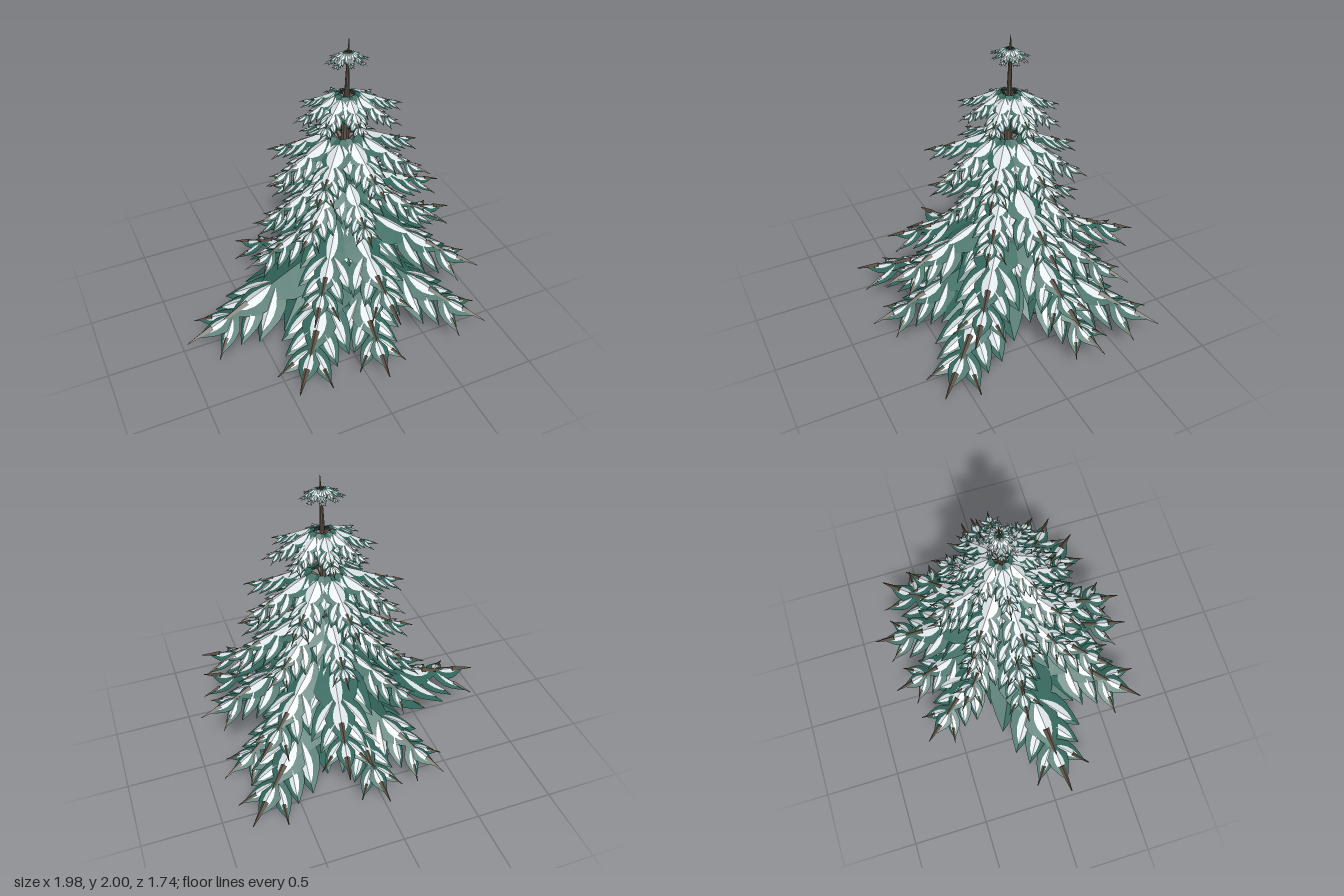
import * as THREE from 'three';

const foliage = new THREE.MeshStandardMaterial({ color: 0x33675d, flatShading: true, side: THREE.DoubleSide });
foliage.name = 'foliage green';
const snow = new THREE.MeshStandardMaterial({ color: 0xdde4e7, flatShading: true, side: THREE.DoubleSide });
snow.name = 'snow white';
const bark = new THREE.MeshStandardMaterial({ color: 0x5b5045, flatShading: true });
bark.name = 'bark brown';

const V = (x, y, z) => new THREE.Vector3(x, y, z);

// Unit leaf along +x, folded down from a midrib; start..end is the stretch it covers.
function leafGeometry(start, end, profile) {
  const pos = [], index = [];
  profile.forEach((w, i) => {
    const u = start + (end - start) * i / (profile.length - 1);
    const ridge = 0.1 * u - 0.1 * u * u;
    for (const side of [-1, 0, 1]) pos.push(u, ridge - Math.abs(side) * w * 0.4, side * w);
    if (i === 0) return;
    const b = i * 3, a = b - 3;
    for (const k of [0, 1]) index.push(a + k, a + k + 1, b + k, b + k, a + k + 1, b + k + 1);
  });
  const g = new THREE.BufferGeometry();
  g.setAttribute('position', new THREE.Float32BufferAttribute(pos, 3));
  g.setIndex(index);
  g.computeVertexNormals();
  return g;
}
const leafShape = leafGeometry(0, 1, [0.45, 0.8, 1, 0.86, 0.48, 0]);
const snowShape = leafGeometry(0.15, 0.84, [0.1, 0.65, 1, 1, 0.7, 0]);

// Tapered round bar between two points
function bar(name, a, b, r0, r1, sides = 5) {
  const d = b.clone().sub(a);
  const m = new THREE.Mesh(new THREE.CylinderGeometry(r1, r0, d.length(), sides), bark);
  m.name = name;
  m.position.copy(a).addScaledVector(d, 0.5);
  m.quaternion.setFromUnitVectors(V(0, 1, 0), d.normalize());
  return m;
}

// Drooping line of every branch: [share of length, share of drop]
const droop = [[0.16, 0], [0.42, 0.34], [0.56, 0.52], [0.71, 0.71], [1, 1]];

// Leaf clusters at those stops, each leaf as [yaw, length, half width] in branch lengths
const clusters = [
  { lift: 0.01, leaves: [[0, 0.47, 0.17], [0.5, 0.51, 0.12], [-0.5, 0.51, 0.12]] },
  { lift: 0.008, leaves: [[0, 0.36, 0.11], [0.62, 0.38, 0.085], [-0.62, 0.38, 0.085]] },
  { lift: 0.004, leaves: [[0.6, 0.3, 0.065], [-0.6, 0.3, 0.065]] },
  { lift: 0.004, leaves: [[0, 0.25, 0.064], [0.68, 0.25, 0.055], [-0.68, 0.25, 0.055]] },
];

function makeBranch(R, rise, drop, snowWidth, baseSnow) {
  const g = new THREE.Group();
  g.name = 'branch';
  const stops = droop.map(([s, h]) => V(s * R, -h * drop, 0));

  // Thick woody stem under the leaves
  const under = [V(0, -rise, 0), ...stops.slice(0, 4).map((p, i) => V(p.x, p.y - (0.065 - 0.012 * i) * R, 0))];
  for (let i = 0; i < 4; i++) {
    const r = (k) => R * (0.034 - 0.006 * k);
    g.add(bar('stem', under[i], under[i + 1], r(i), r(i + 1)));
  }

  // Leaves, each with a snow strip, and bare spikes at the outer tips
  clusters.forEach(({ lift, leaves }, c) => {
    const p = stops[c], q = stops[c + 1];
    const pitch = Math.atan2(q.y - p.y, q.x - p.x);
    for (const [yaw, length, half] of leaves) {
      const L = length * R, H = half * R;
      const spray = new THREE.Group();
      spray.name = 'leafSpray';
      spray.position.set(p.x, p.y + lift * R, 0);
      spray.rotation.set(0, yaw, pitch, 'ZYX');
      if (yaw) spray.rotateZ(-0.22);
      const leaf = new THREE.Mesh(leafShape, foliage);
      leaf.name = 'leaf';
      leaf.scale.set(L, H, H);
      spray.add(leaf);
      const w = c === 0 ? baseSnow : snowWidth;
      if (w > 0) {
        const cap = new THREE.Mesh(snowShape, snow);
        cap.name = 'snowStrip';
        cap.scale.set(L, H * w, H * w);
        cap.position.y = 0.003 + 0.03 * H;
        spray.add(cap);
      }
      if (c === 3 || (c === 1 && !yaw)) {
        const [thick, reach] = yaw ? [0.013, 1.12] : [0.021, 1.27];
        spray.add(bar('twig', V(0.62 * L, 0.002 * R, 0), V(reach * L, 0.002 * R, 0), thick * R, 0.003 * R, 4));
      }
      g.add(spray);
    }
  });
  return g;
}

// Ring of eight branch tips with its own reach to the left, right, front and back
function ring(cx, left, right, depth, turn) {
  return Array.from({ length: 8 }, (_, i) => {
    const a = turn + i * Math.PI / 4, c = Math.cos(a);
    const k = 1 + 0.06 * Math.sin(i * 2.4) * (i % 2);
    return [cx + (c > 0 ? left : right) * c * k, -0.03 + depth * Math.sin(a) * k];
  });
}

export function createModel() {
  const tree = new THREE.Group();
  tree.name = 'snowyFir';
  const zc = -0.027;

  // Leaning trunk
  const trunk = new THREE.Group();
  trunk.name = 'trunk';
  const steps = [[0.125, 0.01, 0.07], [0.127, 0.25, 0.058], [0.135, 0.75, 0.042], [0.147, 1.25, 0.028],
    [0.158, 1.65, 0.016], [0.163, 1.88, 0.009], [0.166, 2, 0.002]];
  for (let i = 0; i < steps.length - 1; i++) {
    const [x0, y0, r0] = steps[i], [x1, y1, r1] = steps[i + 1];
    trunk.add(bar('trunkSection', V(x0, y0, zc), V(x1, y1, zc - 0.001), r0, r1, 8));
  }
  tree.add(trunk);

  // Spreading roots
  for (let i = 0; i < 7; i++) {
    const a = i * 2 * Math.PI / 7 + 0.1, r = 0.23 + 0.015 * Math.sin(i * 3);
    tree.add(bar('root', V(0.125, 0.034, zc),
      V(0.125 + r * Math.cos(a), 0.016, zc + r * Math.sin(a)), 0.034, 0.004));
  }

  // Tiers: centre x, top, drop, rise from the trunk, snow widths, branch tips [x, z]
  const tiers = [
    { x: 0.13, top: 0.52, drop: 0.35, rise: 0.11, snow: 0.42, base: 0, tips: [[0.82, 0.7], [0.05, 0.86],
      [-0.5, 0.77], [-0.98, 0.11], [-0.38, -0.72], [0.03, -0.84], [0.85, -0.73], [0.92, -0.3]] },
    { x: 0.135, top: 0.815, drop: 0.31, rise: 0.11, snow: 0.46, base: 0.25, tips: [[0.98, -0.08], [0.84, 0.52],
      [0.14, 0.79], [-0.33, 0.6], [-0.53, -0.05], [-0.33, -0.45], [0.3, -0.87], [0.74, -0.55]] },
    { x: 0.142, top: 1.08, drop: 0.24, rise: 0.09, snow: 0.52, base: 0.48, tips: ring(0.142, 0.68, 0.57, 0.49, 0.05) },
    { x: 0.149, top: 1.375, drop: 0.21, rise: 0.08, snow: 0.56, base: 0.54, tips: ring(0.149, 0.53, 0.53, 0.49, -0.08) },
    { x: 0.156, top: 1.65, drop: 0.14, rise: 0.055, snow: 0.58, base: 0.58, tips: ring(0.156, 0.365, 0.33, 0.31, 0.1) },
    { x: 0.163, top: 1.92, drop: 0.06, rise: 0.022, snow: 0.5, base: 0.5, tips: ring(0.163, 0.13, 0.145, 0.115, 0.2) },
  ];
  tiers.forEach((t) => {
    const tier = new THREE.Group();
    tier.name = 'branchTier';
    t.tips.forEach(([x, z], i) => {
      const dx = x - t.x, dz = z - zc;
      const drop = t.drop * (1 + 0.03 * Math.sin(i * 2));
      const branch = makeBranch(Math.hypot(dx, dz), t.rise, drop, t.snow, t.base);
      branch.position.set(t.x, t.top, zc);
      branch.rotation.y = Math.atan2(-dz, dx);
      tier.add(branch);
    });
    tree.add(tier);
  });
  return tree;
}
